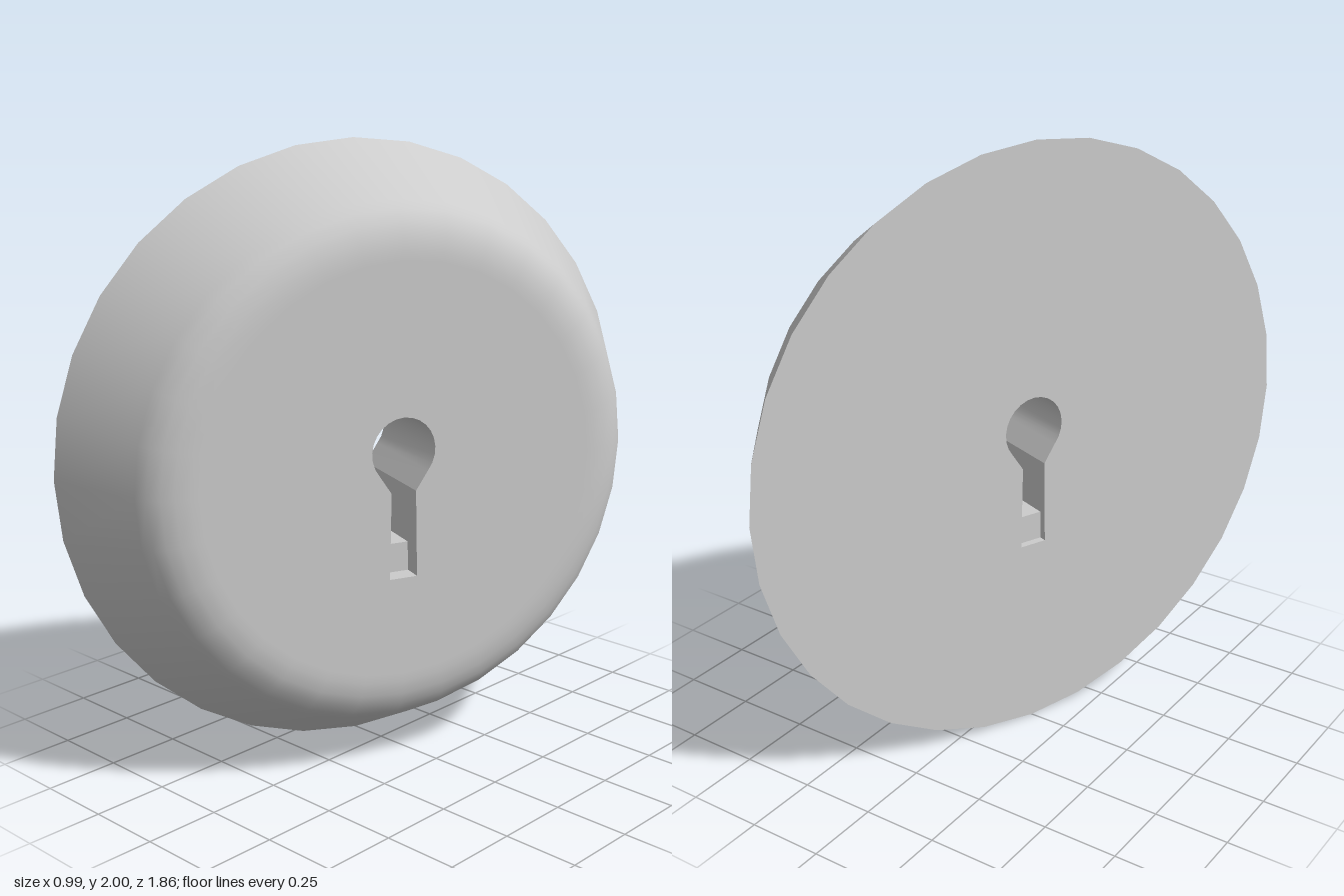
import * as THREE from 'three';
import { toCreasedNormals } from 'three/addons/utils/BufferGeometryUtils.js';

const SIDES = 32, DEPTH = 0.375, CORE = 0.66;

// Round head with a short flare down to a slot that widens slightly
function keyholePath() {
  const pts = [];
  const start = -0.7, end = Math.PI + 0.7, n = 18;
  for (let i = 0; i <= n; i++) {
    const a = start + (end - start) * i / n;
    pts.push(new THREE.Vector2(0.108 * Math.cos(a), 0.07 + 0.108 * Math.sin(a)));
  }
  pts.push(
    new THREE.Vector2(-0.042, -0.06), new THREE.Vector2(-0.047, -0.34),
    new THREE.Vector2(0.047, -0.34), new THREE.Vector2(0.042, -0.06));
  return new THREE.Path(pts);
}

export function createModel() {
  const material = new THREE.MeshStandardMaterial({ color: 0xcccccc });
  const model = new THREE.Group();
  model.name = 'keyholeEscutcheon';

  const add = (name, geometry) => {
    const mesh = new THREE.Mesh(geometry, material);
    mesh.name = name;
    model.add(mesh);
    return mesh;
  };

  // Bevelled rim with a rounded shoulder and a flat back
  const profile = [
    [CORE, 0], [1, 0], [0.835, 0.295], [0.81, 0.328], [0.775, 0.353],
    [0.735, 0.368], [0.69, DEPTH], [CORE, DEPTH],
  ].map(([r, h]) => new THREE.Vector2(r, h));
  const rim = new THREE.LatheGeometry(profile, SIDES);
  rim.rotateX(Math.PI / 2);
  add('rim', toCreasedNormals(rim, 0.6));

  // Flat centre plate pierced by the keyhole
  const disc = new THREE.Shape();
  const ring = [];
  for (let i = 0; i < SIDES; i++) {
    const a = i / SIDES * Math.PI * 2;
    ring.push(new THREE.Vector2(CORE * Math.cos(a), CORE * Math.sin(a)));
  }
  disc.setFromPoints(ring);
  disc.holes.push(keyholePath());
  const plate = new THREE.ExtrudeGeometry(disc, { depth: DEPTH, bevelEnabled: false });
  add('keyholePlate', toCreasedNormals(plate, 0.5));

  // Small stop block recessed in the foot of the slot
  const front = DEPTH - 0.065, back = 0.025;
  const block = add('slotStop', new THREE.BoxGeometry(0.094, 0.095, front - back));
  block.position.set(0, -0.2925, (front + back) / 2);

  // Turn the plate to its angled stance
  model.rotation.y = Math.atan2(0.928, 0.371);
  model.position.set(-0.12, 1, 0);

  const root = new THREE.Group();
  root.name = 'angledEscutcheon';
  root.add(model);
  return root;
}
